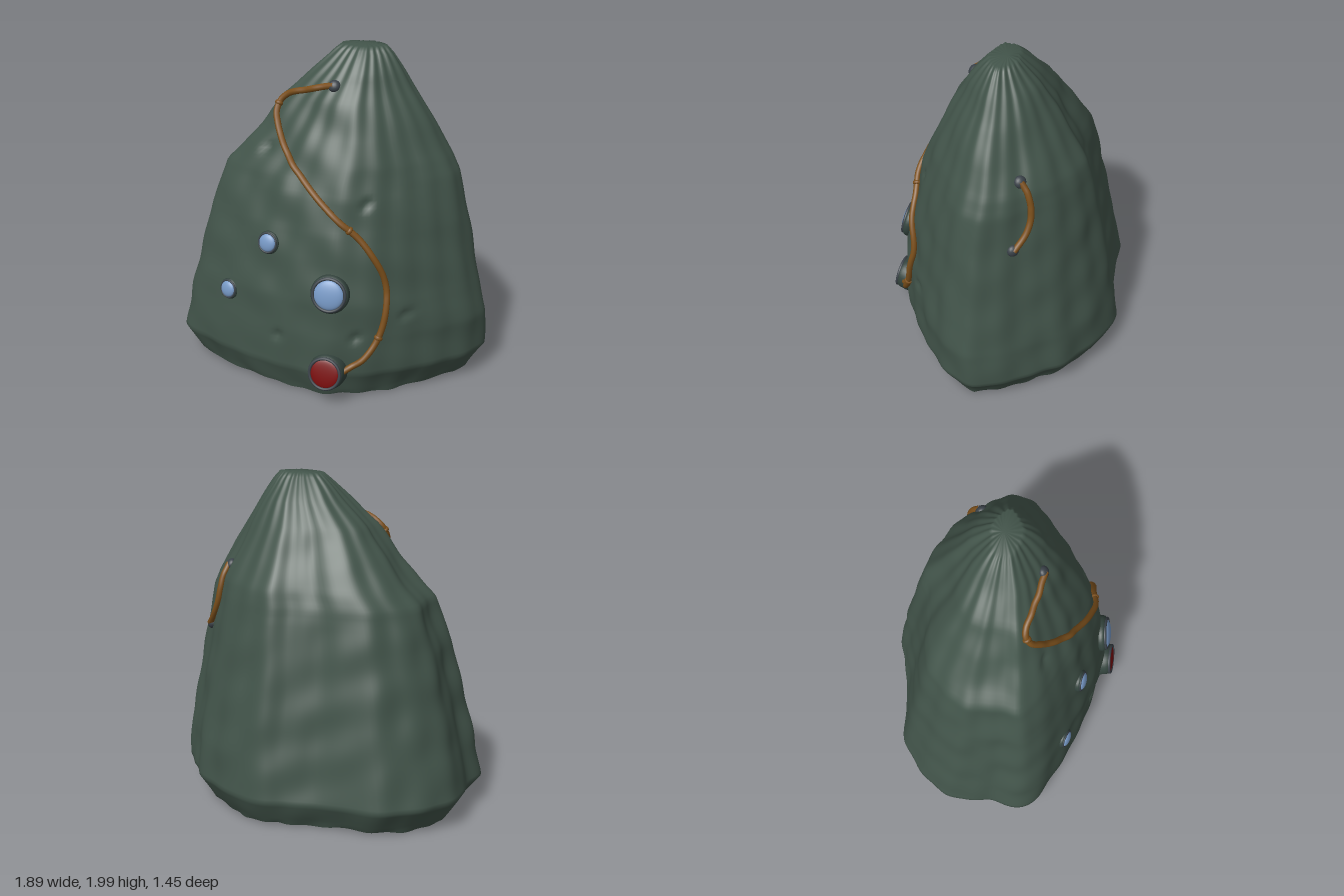
import * as THREE from 'three';

const mat = (name, color) => new THREE.MeshStandardMaterial({ name, color });
const V = (x, y, z) => new THREE.Vector3(x, y, z);

// Footprint of the rock (x, z), counter-clockwise from above
const OUTLINE = [
  [0.93, -0.04], [0.86, -0.2], [0.72, -0.37], [0.62, -0.5], [0.4, -0.64], [0.27, -0.7], [0.09, -0.73],
  [-0.05, -0.68], [-0.3, -0.63], [-0.6, -0.6], [-0.78, -0.47], [-0.9, -0.33], [-0.94, -0.2], [-0.92, 0],
  [-0.94, 0.23], [-0.75, 0.38], [-0.53, 0.48], [-0.32, 0.56], [-0.12, 0.61], [0.13, 0.64], [0.32, 0.58],
  [0.52, 0.45], [0.76, 0.25], [0.89, 0.1],
];
// Rock extents by height: y, left x, right x, back z, front z
const LEVELS = [
  [0.015, -0.83, 0.82, -0.65, 0.58], [0.17, -0.94, 0.93, -0.73, 0.64], [0.4, -0.89, 0.925, -0.69, 0.635],
  [0.6, -0.835, 0.885, -0.655, 0.62], [0.85, -0.77, 0.83, -0.605, 0.575], [1.0, -0.73, 0.8, -0.575, 0.545],
  [1.2, -0.66, 0.755, -0.535, 0.49], [1.28, -0.635, 0.74, -0.515, 0.46], [1.37, -0.545, 0.7, -0.485, 0.425],
  [1.5, -0.435, 0.615, -0.42, 0.37], [1.7, -0.29, 0.5, -0.31, 0.275], [1.85, -0.125, 0.4, -0.22, 0.19],
  [1.95, -0.02, 0.33, -0.14, 0.11], [1.995, 0.03, 0.29, -0.1, 0.07],
];
// Small dents on the front: x, y
const DENTS = [[0.3, 1.18], [0.54, 0.52], [-0.2, 0.36], [-0.35, 1.41], [0.28, 0.41]];
const SEG = 180, ROWS = 90;

function extents(y) {
  let k = 0;
  while (k < LEVELS.length - 2 && y > LEVELS[k + 1][0]) k++;
  const a = LEVELS[k], b = LEVELS[k + 1], t = (y - a[0]) / (b[0] - a[0]);
  return a.map((v, j) => v + (b[j] - v) * t);
}

function rockPoint(p, y) {
  const [, l, r, b, f] = extents(y);
  const u = (p.x + 0.005) / 0.935, w = (p.z + 0.045) / 0.685;
  const v = V((l + r) / 2 + u * (r - l) / 2, y, (b + f) / 2 + w * (f - b) / 2);
  // gentle lumps and dents
  const out = V(u, 0, w).normalize();
  let d = 0.005 * Math.sin(17 * v.x + 4 * y) * Math.sin(13 * v.z - 9 * y + 1)
    + 0.004 * Math.sin(21 * y + 6 * v.x) * Math.cos(9 * v.z + 5 * v.x)
    + 0.004 * Math.sin(Math.atan2(w, u) * 22 + 2 * y);
  if (v.z > 0) for (const [x, h] of DENTS) d -= 0.022 * Math.exp(-((v.x - x) ** 2 + (y - h) ** 2) / 0.0008);
  return v.addScaledVector(out, d);
}

function surface(points, index) {
  const g = new THREE.BufferGeometry().setFromPoints(points);
  g.setIndex(index);
  g.computeVertexNormals();
  return g;
}

export function createModel() {
  const model = new THREE.Group();
  const rockMat = mat('mossy rock', 0x42544a), rimMat = mat('dark green rim', 0x33433d),
    metal = mat('dark grey metal', 0x3a4148), cable = mat('brown cable', 0x7b4f1b),
    glass = mat('pale blue glass', 0x7799c6), red = mat('dark red lens', 0x7a0d0d);
  const add = (name, geo, material, parent = model) => {
    const m = new THREE.Mesh(geo, material);
    m.name = name;
    parent.add(m);
    return m;
  };

  // Rock: rings of the footprint stacked upwards, closed at the top
  const ring = new THREE.CatmullRomCurve3(OUTLINE.map(([x, z]) => V(x, 0, z)), true).getPoints(SEG).slice(0, SEG);
  const pts = [], idx = [];
  for (let j = 0; j <= ROWS; j++) {
    const y = 0.015 + 1.98 * j / ROWS;
    for (let i = 0; i < SEG; i++) {
      pts.push(rockPoint(ring[i], y));
      if (j === ROWS) continue;
      const a = j * SEG + i, b = j * SEG + (i + 1) % SEG;
      idx.push(a, b, b + SEG, a, b + SEG, a + SEG);
    }
  }
  const top = ROWS * SEG, apex = pts.push(V(0.16, 2, -0.03)) - 1;
  for (let i = 0; i < SEG; i++) idx.push(top + i, top + (i + 1) % SEG, apex);
  // uneven lower edge
  for (let i = 0; i < SEG; i++) pts[i].y += 0.006 * Math.sin(i * 0.31) + 0.004 * Math.sin(i * 0.83);
  const rock = add('rock', surface(pts, idx), rockMat);

  // Underside fan with its own normals for a crisp edge
  const base = pts.slice(0, SEG), baseIdx = [];
  base.push(V(0, 0.01, 0));
  for (let i = 0; i < SEG; i++) baseIdx.push((i + 1) % SEG, i, SEG);
  add('underside', surface(base, baseIdx), rockMat);

  // Point and normal on the rock met by a ray from the front or from the side
  const caster = new THREE.Raycaster();
  rock.updateMatrixWorld(true);
  const hit = (origin, dir) => {
    caster.set(origin, dir);
    const h = caster.intersectObject(rock)[0];
    return h && { p: h.point, n: h.face.normal.clone() };
  };
  const onFront = (x, y) => hit(V(x, y, 3), V(0, 0, -1)) || { p: V(x, y, 0.12), n: V(-0.7, 0.3, 0.6).normalize() };
  const onSide = (z, y) => hit(V(3, y, z), V(-1, 0, 0));

  // Round fitting: stepped housing, rim and domed lens, facing +z before turning
  function pod(name, x, y, r, lensMat, lift, dome, facing) {
    const g = new THREE.Group(), { p } = onFront(x, y);
    g.name = name;
    const housing = [[0, -0.06], [1.28, -0.06], [1.3, 0], [1.24, lift * 0.6], [1.12, lift], [0.95, lift], [0, lift]]
      .map(([a, b]) => new THREE.Vector2(a * r, b));
    add('housing', new THREE.LatheGeometry(housing, 40).rotateX(Math.PI / 2), rimMat, g);
    const rim = add('rim', new THREE.TorusGeometry(r * 1.08, r * 0.11, 10, 40), metal, g);
    rim.position.z = lift;
    const lens = add('lens', new THREE.SphereGeometry(r, 36, 10, 0, Math.PI * 2, 0, Math.PI / 2).rotateX(Math.PI / 2), lensMat, g);
    lens.scale.z = dome / r;
    lens.position.z = lift;
    g.position.copy(p);
    g.quaternion.setFromUnitVectors(V(0, 0, 1), facing.normalize());
    model.add(g);
  }
  pod('largeWindow', 0.13, 0.68, 0.088, glass, 0.022, 0.025, V(0.02, 0.2, 1));
  pod('upperWindow', -0.275, 0.905, 0.053, glass, 0.012, 0.02, V(-0.2, 0.2, 1));
  pod('lowerWindow', -0.55, 0.55, 0.049, glass, 0.012, 0.02, V(-0.35, 0.15, 1));
  pod('redLamp', 0.125, 0.2, 0.085, red, 0.062, 0.012, V(-0.03, 0.18, 1));

  // Cables hug the rock; end plugs and collars sit along them
  function hose(name, samples, plugs, collars) {
    const curve = new THREE.CatmullRomCurve3(samples.map(({ p, n }) => p.clone().addScaledVector(n, 0.012)));
    add(name, new THREE.TubeGeometry(curve, 120, 0.019, 10), cable);
    for (const t of plugs) {
      const s = samples[t * (samples.length - 1)];
      const plug = add(name + 'Plug', new THREE.SphereGeometry(0.036, 20, 12), metal);
      plug.scale.z = 0.75;
      plug.position.copy(s.p);
      plug.quaternion.setFromUnitVectors(V(0, 0, 1), s.n);
    }
    for (const t of collars) {
      const c = add(name + 'Collar', new THREE.TorusGeometry(0.018, 0.008, 8, 18), cable);
      c.scale.z = 1.5;
      c.position.copy(curve.getPointAt(t));
      c.quaternion.setFromUnitVectors(V(0, 0, 1), curve.getTangentAt(t));
    }
  }
  const frontPath = new THREE.CatmullRomCurve3([
    [0.04, 1.79], [-0.12, 1.745], [-0.25, 1.7], [-0.31, 1.63], [-0.27, 1.5], [-0.16, 1.36], [0, 1.22], [0.16, 1.09],
    [0.31, 0.95], [0.4, 0.79], [0.43, 0.6], [0.4, 0.42], [0.32, 0.28], [0.21, 0.21],
  ].map(([x, y]) => V(x, y, 0)));
  const front = frontPath.getSpacedPoints(36).map(p => onFront(p.x, p.y));
  // the lower end rises to meet the lamp housing
  front[front.length - 1].p.z += 0.03;
  hose('frontCable', front, [0], [0.17, 0.565, 0.87]);

  const sidePath = new THREE.CatmullRomCurve3([
    [-0.21, 1.44], [-0.255, 1.38], [-0.28, 1.26], [-0.265, 1.15], [-0.21, 1.06],
  ].map(([z, y]) => V(0, y, z)));
  hose('sideCable', sidePath.getSpacedPoints(12).map(p => onSide(p.z, p.y)), [0, 1], []);

  return model;
}
